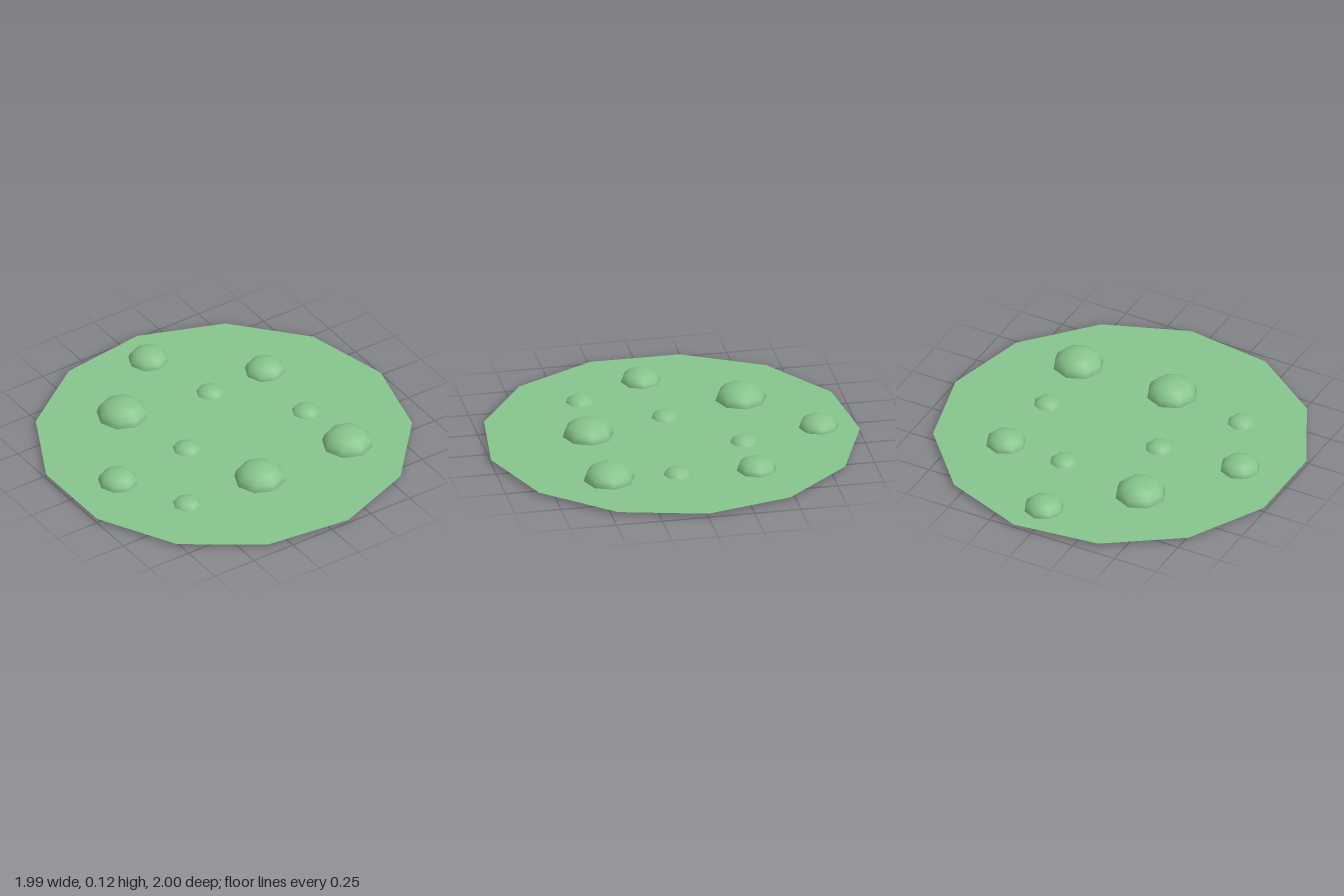
import * as THREE from 'three';

const SHEET_Y = 0.017;

// Dome sizes: radius, base height and [x, z] positions
const DOMES = [
  { name: 'largeMound', radius: 0.138, base: 0.027, spots: [[-0.363, -0.449], [-0.08, 0.436], [0.484, 0.436]] },
  { name: 'mediumMound', radius: 0.109, base: 0.0145, spots: [[0.037, -0.79], [0.495, -0.362], [-0.71, 0.024]] },
  { name: 'smallMound', radius: 0.08, base: 0, spots: [[0.144, -0.364], [-0.243, -0.015], [0.47, 0.062], [-0.52, 0.394]] },
];

export function createModel() {
  const group = new THREE.Group();
  const green = new THREE.MeshStandardMaterial({ color: 0x86c48c, side: THREE.DoubleSide });

  // Flat thirteen-sided ground sheet
  const sheet = new THREE.Mesh(new THREE.CircleGeometry(1.0073, 13).rotateX(-Math.PI / 2), green);
  sheet.name = 'groundSheet';
  sheet.position.set(-0.0146, SHEET_Y, 0);
  group.add(sheet);

  // Squashed, open-bottomed half spheres scattered over the sheet
  for (const { name, radius, base, spots } of DOMES) {
    const dome = new THREE.SphereGeometry(radius, 8, 4, 0, Math.PI * 2, 0, Math.PI / 2).scale(1, 0.65, 1);
    spots.forEach(([x, z], i) => {
      const mound = new THREE.Mesh(dome, green);
      mound.name = `${name}${i + 1}`;
      mound.position.set(x, base, z);
      group.add(mound);
    });
  }
  return group;
}
